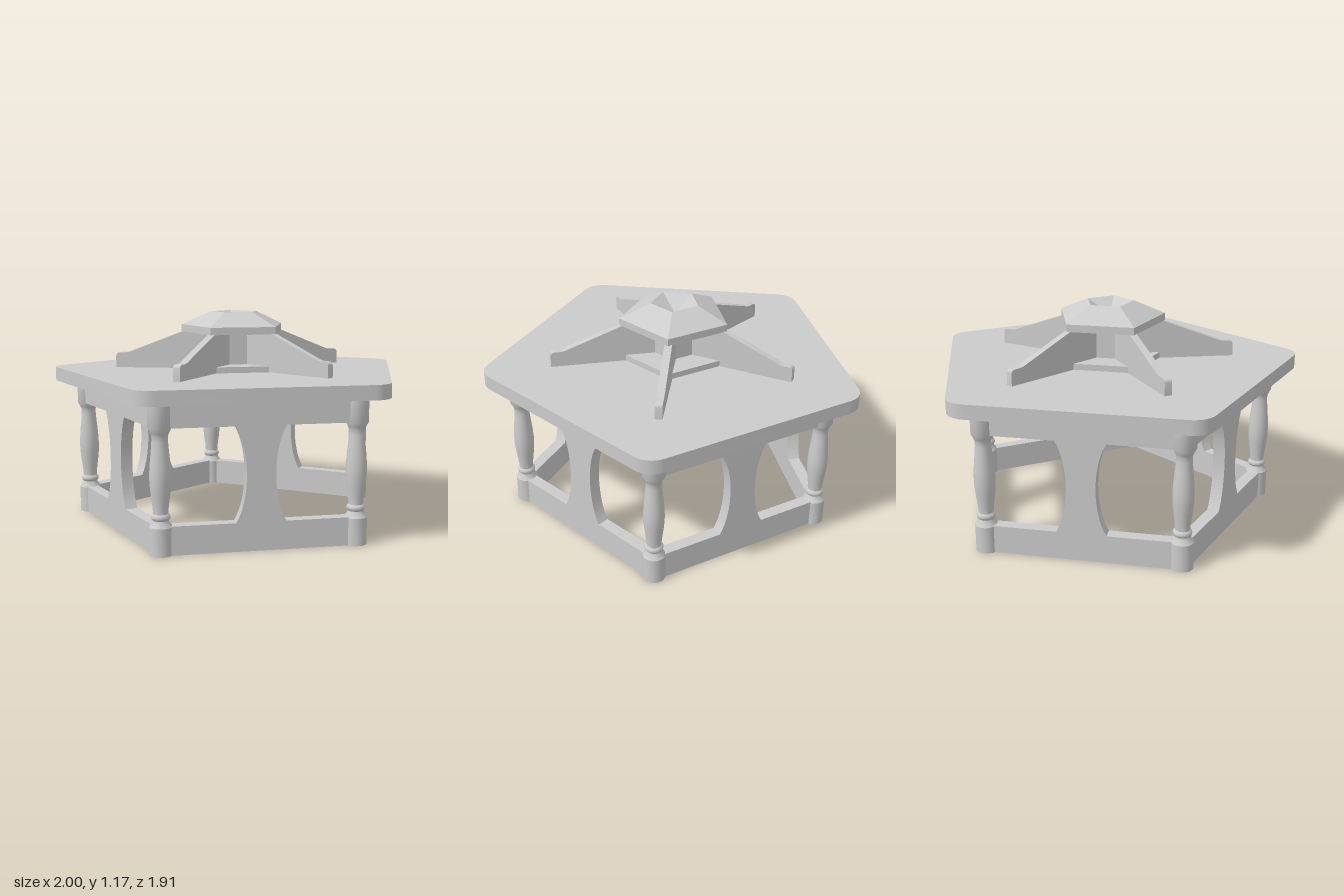
import * as THREE from 'three';
import { toCreasedNormals } from 'three/addons/utils/BufferGeometryUtils.js';

const STEP = (Math.PI * 2) / 5;
const HALF = STEP / 2;
const CENTRE_Z = -0.09;
const POST_R = 0.862; // corner posts' distance from the axis
const APOTHEM = POST_R * Math.cos(HALF);
const SIDE = POST_R * Math.sin(HALF); // half the length of one side

const smooth = new THREE.MeshStandardMaterial({ color: 0xcccccc });
const faceted = new THREE.MeshStandardMaterial({ color: 0xcccccc, flatShading: true });

const points = (list) => list.map(([x, y]) => new THREE.Vector2(x, y));

function add(parent, name, geometry, material = smooth) {
  const mesh = new THREE.Mesh(geometry, material);
  mesh.name = name;
  parent.add(mesh);
  return mesh;
}

// Pentagon with rounded corners, one corner towards +z, lying flat from y0 up
function slabGeometry(R, r, y0, height) {
  const shape = new THREE.Shape();
  const c = R - r / Math.cos(HALF);
  for (let k = 0; k < 5; k++) {
    const t = k * STEP - Math.PI / 2;
    shape.absarc(c * Math.cos(t), c * Math.sin(t), r, t - HALF, t + HALF, false);
  }
  const geo = new THREE.ExtrudeGeometry(shape, { depth: height, bevelEnabled: false, curveSegments: 10 });
  geo.rotateX(-Math.PI / 2).translate(0, y0, 0);
  return toCreasedNormals(geo, 0.4);
}

// Side panel: bottom rail, waisted middle upright and top apron in one piece
function panelGeometry() {
  const s = new THREE.Shape();
  const low = 0.15, high = 0.645, top = 0.78, end = 0.13, waist = 0.057;
  s.moveTo(-SIDE, 0);
  s.lineTo(SIDE, 0);
  s.lineTo(SIDE, low);
  s.lineTo(end, low);
  s.bezierCurveTo(waist, low + 0.12, waist, high - 0.12, end, high);
  s.lineTo(SIDE, high);
  s.lineTo(SIDE, top);
  s.lineTo(-SIDE, top);
  s.lineTo(-SIDE, high);
  s.lineTo(-end, high);
  s.bezierCurveTo(-waist, high - 0.12, -waist, low + 0.12, -end, low);
  s.lineTo(-SIDE, low);
  s.closePath();
  const geo = new THREE.ExtrudeGeometry(s, { depth: 0.065, bevelEnabled: false, curveSegments: 16 });
  geo.translate(0, 0, APOTHEM - 0.03);
  return toCreasedNormals(geo, 0.4);
}

// Turned post with plain blocks at both ends
function postGeometry() {
  const profile = points([
    [0, 0], [0.06, 0], [0.06, 0.145], [0.042, 0.17], [0.04, 0.178],
    [0.047, 0.186], [0.049, 0.195], [0.046, 0.205], [0.038, 0.212],
    [0.041, 0.25], [0.049, 0.31], [0.054, 0.36], [0.055, 0.40], [0.052, 0.46],
    [0.045, 0.53], [0.041, 0.58], [0.041, 0.605], [0.047, 0.62],
    [0.06, 0.645], [0.06, 0.78], [0, 0.78],
  ]);
  return toCreasedNormals(new THREE.LatheGeometry(profile, 24), 0.6);
}

// Radial fin, sloping from the lantern eave to a low rounded toe
function finGeometry() {
  const s = new THREE.Shape();
  s.moveTo(0.1, 0.845);
  s.lineTo(0.685, 0.845);
  s.lineTo(0.685, 0.91);
  s.quadraticCurveTo(0.685, 0.937, 0.66, 0.937);
  s.lineTo(0.635, 0.937);
  s.quadraticCurveTo(0.615, 0.937, 0.595, 0.946);
  s.lineTo(0.295, 1.062);
  s.lineTo(0.1, 1.062);
  s.closePath();
  const geo = new THREE.ExtrudeGeometry(s, { depth: 0.04, bevelEnabled: false, curveSegments: 6 });
  geo.translate(0, 0, -0.02);
  return toCreasedNormals(geo, 0.5);
}

export function createModel() {
  const model = new THREE.Group();
  model.name = 'pentagonTable';
  const body = new THREE.Group();
  body.name = 'body';
  body.position.z = CENTRE_Z;
  model.add(body);

  add(body, 'tableTop', slabGeometry(1.073, 0.12, 0.775, 0.077));

  // Posts, side panels and fins, five of each
  const post = postGeometry(), panel = panelGeometry(), fin = finGeometry();
  for (let k = 0; k < 5; k++) {
    const a = k * STEP;
    add(body, 'cornerPost', post).position.set(POST_R * Math.sin(a), 0, POST_R * Math.cos(a));
    add(body, 'sidePanel', panel).rotation.y = a + HALF;
    add(body, 'roofFin', fin).rotation.y = a - Math.PI / 2;
  }

  // Lantern: plinth, recessed core and roof with a sunken middle
  const lantern = new THREE.Group();
  lantern.name = 'lantern';
  body.add(lantern);
  const plinth = points([[0, 0.845], [0.29, 0.845], [0.29, 0.885], [0, 0.885]]);
  add(lantern, 'plinth', new THREE.LatheGeometry(plinth, 5), faceted);
  add(lantern, 'core', new THREE.CylinderGeometry(0.128, 0.128, 0.2, 5), faceted).position.y = 0.97;
  const roof = points([[0, 1.06], [0.305, 1.06], [0.305, 1.1], [0.135, 1.175], [0, 1.105]]);
  add(lantern, 'lanternRoof', new THREE.LatheGeometry(roof, 5), faceted);

  return model;
}
